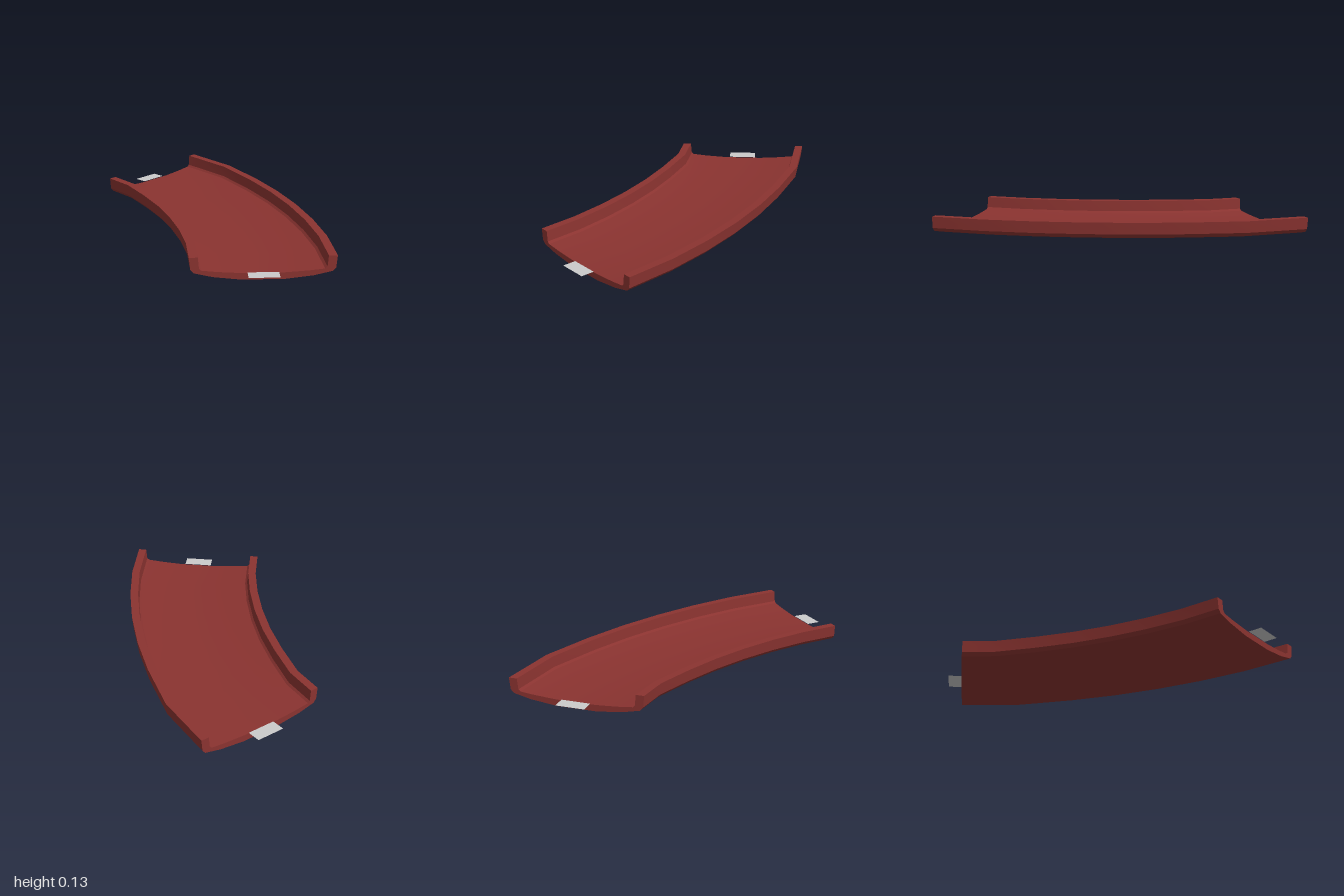
import * as THREE from 'three';
import { toCreasedNormals } from 'three/addons/utils/BufferGeometryUtils.js';

// Centre line of the bend: x, z, heading in degrees
const path = [
  [-0.92, -0.355, 0], [-0.64, -0.32, 13.3], [-0.36, -0.222, 20.9], [-0.125, -0.122, 25.4],
  [0.101, -0.004, 29.9], [0.317, 0.131, 34.4], [0.524, 0.284, 39], [0.724, 0.466, 45],
];

// Half cross-section from the middle outwards: distance, height
const under = [[0.115, 0], [0.265, 0.017], [0.365, 0.04], [0.383, 0.06], [0.39, 0.127]];
const upper = [[0.115, 0.037], [0.24, 0.045], [0.325, 0.054], [0.337, 0.065], [0.343, 0.127]];
const mirror = (half) => [...half.map(([u, y]) => [-u, y]).reverse(), ...half];

// Point on a station of the path, u across (outer side positive), along = forwards
function place([x, z, deg], u, y, along = 0) {
  const a = THREE.MathUtils.degToRad(deg);
  return [x + u * Math.sin(a) + along * Math.cos(a), y, z - u * Math.cos(a) + along * Math.sin(a)];
}

function quadGeometry(quads) {
  const pos = quads.flatMap(([a, b, c, d]) => [a, b, c, a, c, d]).flat();
  const g = new THREE.BufferGeometry();
  g.setAttribute('position', new THREE.Float32BufferAttribute(pos, 3));
  g.computeVertexNormals();
  return g;
}

function channelGeometry() {
  const low = mirror(under), high = mirror(upper);
  const ring = [...low, ...high.slice().reverse()];
  const n = ring.length, quads = [];
  // Skin swept along the bend
  for (let s = 0; s < path.length - 1; s++) {
    for (let i = 0; i < n; i++) {
      const p = ring[i], q = ring[(i + 1) % n];
      quads.push([place(path[s], ...p), place(path[s], ...q),
        place(path[s + 1], ...q), place(path[s + 1], ...p)]);
    }
  }
  // End faces
  for (const [station, isEnd] of [[path[0], false], [path[path.length - 1], true]]) {
    for (let i = 0; i < low.length - 1; i++) {
      const face = [low[i], low[i + 1], high[i + 1], high[i]].map((p) => place(station, ...p));
      quads.push(isEnd ? face : face.reverse());
    }
  }
  return toCreasedNormals(quadGeometry(quads), Math.PI / 7);
}

export function createModel() {
  const group = new THREE.Group();
  const red = new THREE.MeshStandardMaterial({ color: 0x8a3330 });
  const grey = new THREE.MeshStandardMaterial({ color: 0xcccccc, side: THREE.DoubleSide });

  const channel = new THREE.Mesh(channelGeometry(), red);
  channel.name = 'curvedChannel';
  group.add(channel);

  // Thin connector tab at each end
  const addTab = (name, station, length) => {
    const w = 0.083, y = 0.04;
    const corners = [[-w, 0], [w, 0], [w, length], [-w, length]];
    const quad = corners.map(([u, along]) => place(station, u, y, along));
    if (length > 0) quad.reverse();
    const tab = new THREE.Mesh(quadGeometry([quad]), grey);
    tab.name = name;
    group.add(tab);
  };
  addTab('startTab', path[0], -0.08);
  addTab('endTab', path[path.length - 1], 0.08);

  return group;
}
